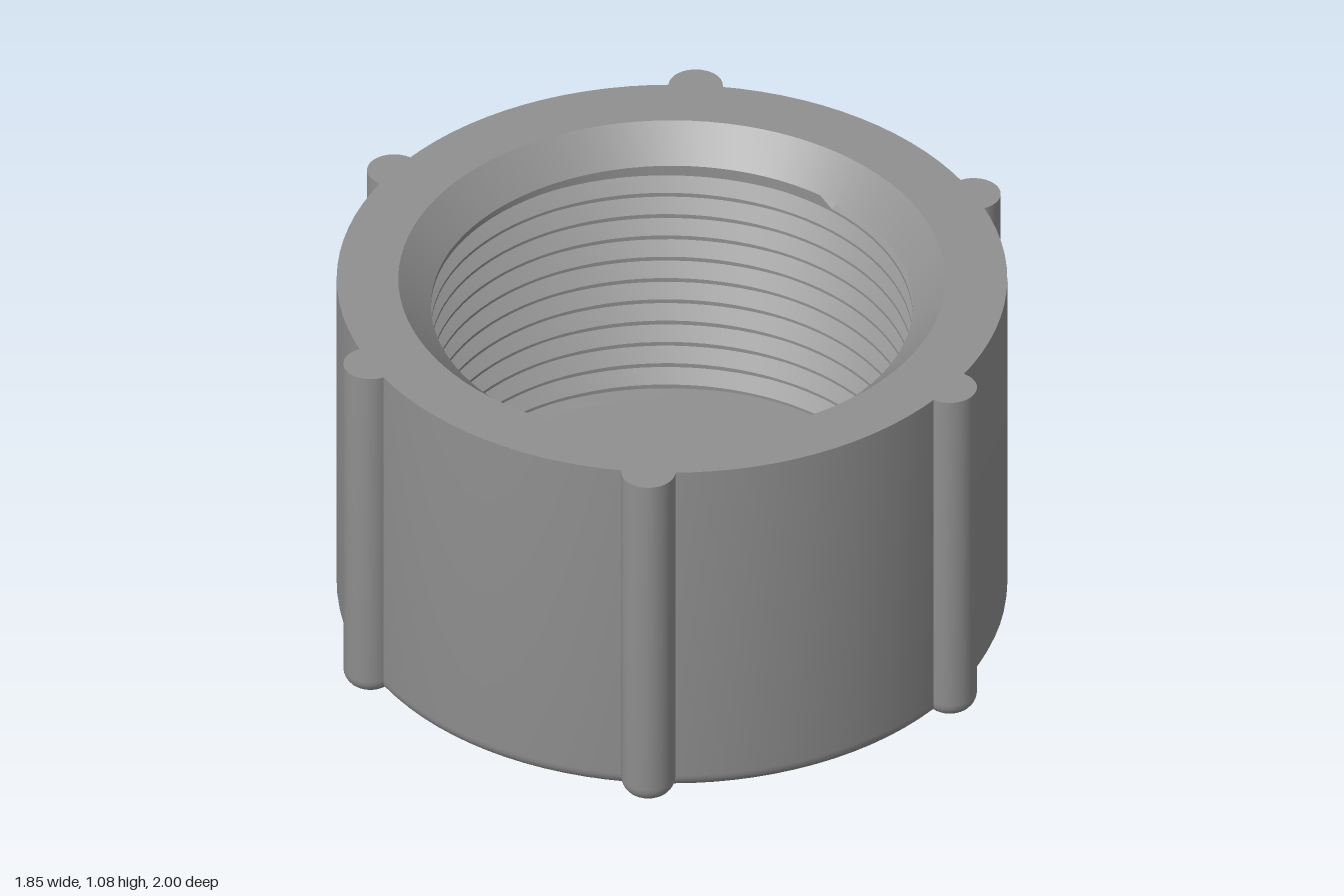
import * as THREE from 'three';
import { toCreasedNormals } from 'three/addons/utils/BufferGeometryUtils.js';

const HEIGHT = 1.075, OUTER = 0.925, MOUTH = 0.755;
const MINOR = 0.665, MAJOR = 0.71, PITCH = 0.072;
const FLOOR = 0.2, BORE_TOP = HEIGHT - (MOUTH - MINOR);
const SEGMENTS = 96;

// Dark grey plastic
const material = new THREE.MeshStandardMaterial({ color: 0x909090 });

function part(name, geometry) {
  const mesh = new THREE.Mesh(toCreasedNormals(geometry, 0.5), material);
  mesh.name = name;
  return mesh;
}

// Profile running from the bottom centre round a fillet and up to the top
function roundedProfile(radius, fillet) {
  const points = [new THREE.Vector2(0, 0)];
  for (let i = 0; i <= 6; i++) {
    const a = (i / 6) * Math.PI / 2;
    points.push(new THREE.Vector2(radius - fillet + fillet * Math.sin(a), fillet - fillet * Math.cos(a)));
  }
  points.push(new THREE.Vector2(radius, HEIGHT));
  return points;
}

// Helical internal thread, trimmed flat at the floor and below the chamfer
function threadGeometry() {
  const profile = [[0, MINOR], [0.12, MINOR], [0.5, MAJOR], [0.62, MAJOR]];
  const turns = Math.ceil((BORE_TOP - FLOOR) / PITCH) + 1;
  const positions = [], indices = [];
  const columns = SEGMENTS + 1;
  let rows = 0;
  for (let turn = -1; turn < turns; turn++) {
    for (const [offset, radius] of profile) {
      for (let i = 0; i < columns; i++) {
        const t = i / SEGMENTS, angle = t * Math.PI * 2;
        const y = FLOOR + (turn + offset + t) * PITCH;
        const r = y >= BORE_TOP ? MINOR : radius;
        positions.push(r * Math.sin(angle), THREE.MathUtils.clamp(y, FLOOR, BORE_TOP), r * Math.cos(angle));
      }
      rows++;
    }
  }
  for (let j = 0; j < rows - 1; j++) {
    for (let i = 0; i < SEGMENTS; i++) {
      const a = j * columns + i, b = a + 1, c = b + columns, d = a + columns;
      indices.push(a, c, b, a, d, c);
    }
  }
  const geometry = new THREE.BufferGeometry();
  geometry.setAttribute('position', new THREE.Float32BufferAttribute(positions, 3));
  geometry.setIndex(indices);
  return geometry;
}

export function createModel() {
  const cap = new THREE.Group();
  cap.name = 'threadedCap';

  // Outer wall, flat rim and chamfered mouth
  const shell = roundedProfile(OUTER, 0.05);
  shell.push(new THREE.Vector2(MOUTH, HEIGHT), new THREE.Vector2(MINOR, BORE_TOP));
  cap.add(part('shell', new THREE.LatheGeometry(shell, SEGMENTS)));

  cap.add(part('innerThread', threadGeometry()));

  // Floor of the bore
  const floor = part('boreFloor', new THREE.CircleGeometry(MAJOR, SEGMENTS).rotateX(-Math.PI / 2));
  floor.position.y = FLOOR;
  cap.add(floor);

  // Six grip ribs, half sunk into the wall
  const ribProfile = roundedProfile(0.075, 0.05);
  ribProfile.push(new THREE.Vector2(0, HEIGHT));
  const ribGeometry = new THREE.LatheGeometry(ribProfile, 32);
  for (let k = 0; k < 6; k++) {
    const angle = k * Math.PI / 3;
    const rib = part('gripRib' + (k + 1), ribGeometry);
    rib.position.set(OUTER * Math.sin(angle), 0, OUTER * Math.cos(angle));
    cap.add(rib);
  }
  return cap;
}
